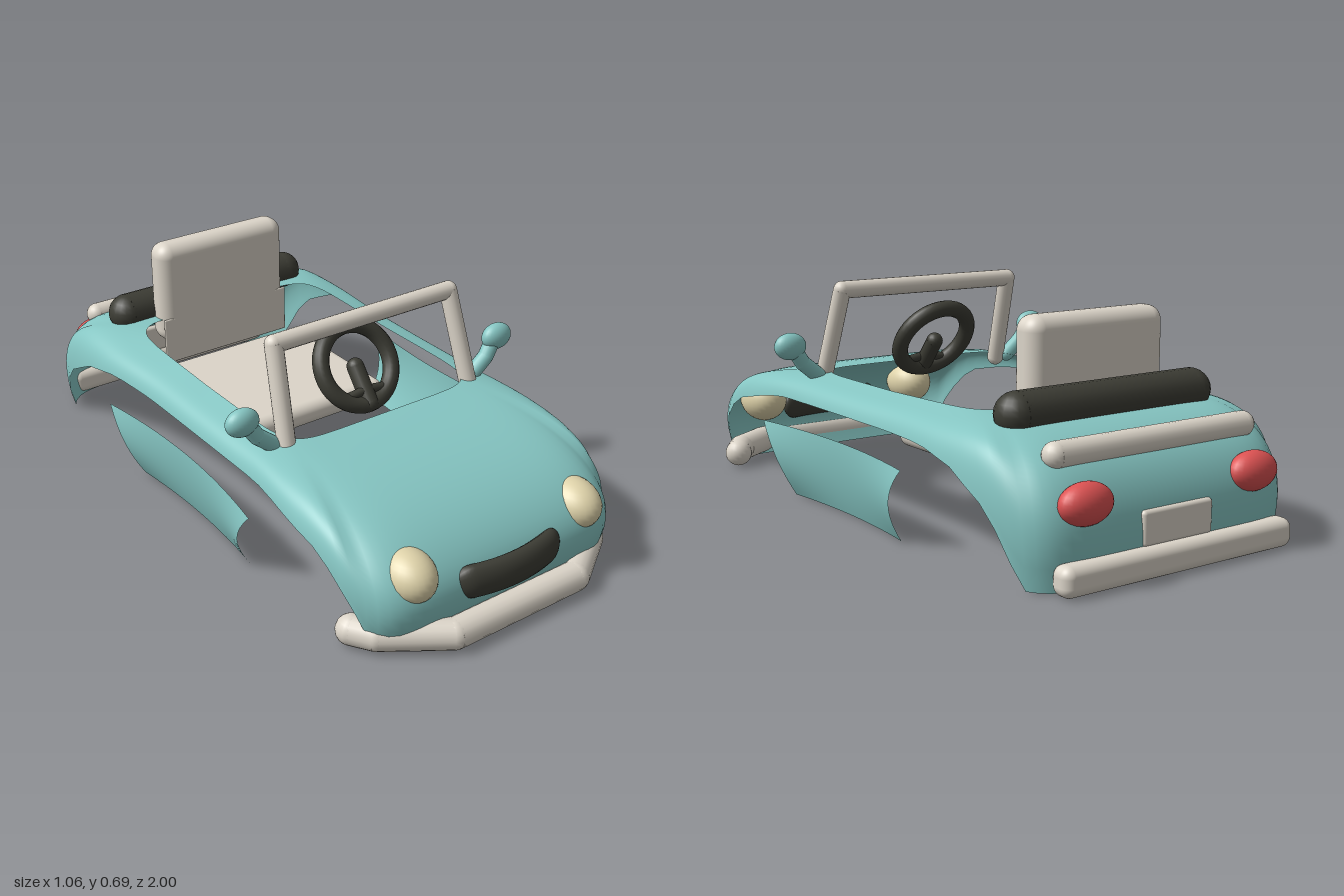
import * as THREE from 'three';
import { RoundedBoxGeometry } from 'three/addons/geometries/RoundedBoxGeometry.js';

const mat = (name, color) => {
  const m = new THREE.MeshStandardMaterial({ color });
  m.name = name;
  return m;
};
const V = (x, y, z) => new THREE.Vector3(x, y, z);
const smooth = THREE.MathUtils.smoothstep;

// Open surface from a grid of points; closed joins the last column to the first.
function sheet(cols, rows, point, closed = false) {
  const pos = [], idx = [];
  const n = closed ? cols : cols + 1;
  for (let i = 0; i < n; i++)
    for (let j = 0; j <= rows; j++) pos.push(...point(i / cols, j / rows));
  for (let i = 0; i < cols; i++)
    for (let j = 0; j < rows; j++) {
      const a = i * (rows + 1) + j, b = ((i + 1) % n) * (rows + 1) + j;
      idx.push(a, a + 1, b, b, a + 1, b + 1);
    }
  const g = new THREE.BufferGeometry();
  g.setAttribute('position', new THREE.Float32BufferAttribute(pos, 3));
  g.setIndex(idx);
  g.computeVertexNormals();
  return g;
}

// Lower edge of the body sides: front wheel arch, door opening, rear wheel arch.
const archLine = [[-0.87, 0.02], [-0.85, 0.06], [-0.82, 0.15], [-0.74, 0.235], [-0.6, 0.305], [-0.45, 0.33],
  [0.4, 0.33], [0.5, 0.315], [0.65, 0.285], [0.75, 0.235], [0.82, 0.14], [0.85, 0.02]];
function cutHeight(z) {
  for (let i = 1; i < archLine.length; i++) {
    const [z0, y0] = archLine[i - 1], [z1, y1] = archLine[i];
    if (z >= z0 && z <= z1) return y0 + (y1 - y0) * (z - z0) / (z1 - z0);
  }
  return 0.02;
}

// Body: profile from the outer outline up and in to the cockpit opening.
function bodyPoint(a, b, angle) {
  const e = b > 0 ? 7 : 8;
  const rOut = (Math.abs(a) ** e + Math.abs(b) ** e) ** (-1 / e), rIn = (a ** 8 + b ** 8) ** (-1 / 8);
  const bz = -0.005 + 0.96 * b * rOut;
  const bx = (0.48 + 0.015 * smooth(bz, 0.3, 0.6) + 0.025 * smooth(-bz, 0.2, 0.6)) * a * rOut;
  const qx = 0.35 * a * rIn, qz = -0.1 + 0.46 * b * rIn;
  const qy = 0.408 + 0.012 * Math.max(0, -b);
  const n = 2.7 + 0.2 * smooth(-b, 0.5, 1) + a * a * (0.3 + 3 * (1 - b ** 4));
  const c = Math.max(0, Math.cos(angle)) ** (2 / n), s = Math.sin(angle) ** (2 / n);
  const slope = 0.07 + 0.03 * a * a - 0.04 * smooth(-b, 0.5, 1);
  const y = 0.02 + (qy - 0.02) * s * (1 - slope * c);
  const tuck = Math.max(0, 1 - y / 0.25) ** 2;
  const z = qz + (bz - qz) * c;
  return [(qx + (bx - qx) * c) * (1 - 0.06 * tuck), y, z * (1 - (z > 0 ? 0.08 : 0.02) * tuck)];
}
function bodyGeometry() {
  const side = 28, starts = new Map();
  return sheet(side * 4, 24, (u, v) => {
    const k = Math.round(u * side * 4), f = ((k % side) / side) * 2 - 1;
    const [a, b] = [[f, 1], [1, -f], [-f, -1], [-1, f]][Math.floor(k / side)];
    if (!starts.has(k)) {
      let t = 0;
      if (Math.abs(a) > 0.8)
        for (; t < 1.5; t += 0.002) {
          const p = bodyPoint(a, b, t);
          if (p[1] >= cutHeight(p[2])) break;
        }
      starts.set(k, t);
    }
    const t0 = starts.get(k);
    return bodyPoint(a, b, t0 + (Math.PI / 2 - t0) * v);
  }, true);
}

export function createModel() {
  const car = new THREE.Group();
  car.name = 'openCar';
  const teal = mat('teal paint', 0x86c6c3);
  teal.side = THREE.DoubleSide;
  const cream = mat('cream trim', 0xdcd5c9);
  const dark = mat('dark rubber', 0x3c3c34);
  const red = mat('red lamp', 0xdc5252);
  const lamp = mat('pale yellow lamp', 0xdfd3aa);

  const add = (name, geo, material, x = 0, y = 0, z = 0, parent = car) => {
    const m = new THREE.Mesh(geo, material);
    m.name = name;
    m.position.set(x, y, z);
    parent.add(m);
    return m;
  };
  const box = (w, h, d, r) => new RoundedBoxGeometry(w, h, d, 5, r);
  const ball = (rx, ry, rz) => new THREE.SphereGeometry(1, 28, 18).scale(rx, ry, rz);
  // Rod along straight segments, with rounded joints and ends
  const rod = (name, pts, r, material, parent = car) => {
    const g = new THREE.Group();
    g.name = name;
    pts.forEach((p, i) => {
      add(name + 'Joint', new THREE.SphereGeometry(r, 18, 12), material, p.x, p.y, p.z, g);
      if (!i) return;
      const d = p.clone().sub(pts[i - 1]);
      const m = add(name + 'Bar', new THREE.CylinderGeometry(r, r, d.length(), 18), material, 0, 0, 0, g);
      m.position.copy(p).add(pts[i - 1]).multiplyScalar(0.5);
      m.quaternion.setFromUnitVectors(V(0, 1, 0), d.normalize());
    });
    parent.add(g);
    return g;
  };

  add('body', bodyGeometry(), teal);

  // Front grille, bowed to follow the nose
  const grille = new THREE.CapsuleGeometry(0.053, 0.28, 8, 20, 16).rotateZ(Math.PI / 2).scale(1, 1, 0.6);
  const gp = grille.attributes.position;
  for (let i = 0; i < gp.count; i++) gp.setZ(i, gp.getZ(i) - 1.0 * gp.getX(i) ** 2);
  grille.computeVertexNormals();
  add('grille', grille, dark, 0, 0.182, 0.938);

  // Bumpers; the front one tucks inside the fenders and ends in the wheel arches
  rod('frontBumper', [V(-0.44, 0.065, 0.775), V(-0.4, 0.065, 0.835), V(-0.225, 0.065, 0.952),
    V(0.225, 0.065, 0.952), V(0.4, 0.065, 0.835), V(0.44, 0.065, 0.775)], 0.045, cream);
  add('rearBumper', box(0.82, 0.085, 0.075, 0.03), cream, 0, 0.062, -0.962);
  add('rearPlate', box(0.25, 0.1, 0.03, 0.012), cream, 0, 0.15, -0.948);

  // Rear deck trim and folded roof
  rod('deckTrim', [V(-0.335, 0.358, -0.853), V(0.335, 0.358, -0.853)], 0.037, cream);
  rod('foldedRoof', [V(-0.315, 0.43, -0.662), V(0.315, 0.43, -0.662)], 0.063, dark);

  // Seat
  add('seatCushion', box(0.53, 0.075, 0.53, 0.034), cream, 0, 0.248, -0.245);
  add('seatBack', box(0.485, 0.35, 0.105, 0.045), cream, 0, 0.505, -0.587);
  add('seatBackSkirt', box(0.485, 0.16, 0.009, 0.004), cream, 0, 0.345, -0.539);

  // Windshield frame
  rod('windshieldFrame', [V(-0.342, 0.39, 0.33), V(-0.322, 0.677, 0.24),
    V(0.322, 0.677, 0.24), V(0.342, 0.39, 0.33)], 0.028, cream);

  // Steering wheel
  const wheel = new THREE.Group();
  wheel.name = 'steeringWheel';
  wheel.position.set(0, 0.5, 0.205);
  wheel.rotation.x = -0.57;
  add('wheelRim', new THREE.TorusGeometry(0.124, 0.026, 14, 40), dark, 0, 0, 0, wheel);
  rod('wheelSpoke', [V(-0.085, -0.09, 0), V(0, -0.08, 0.01), V(0.085, -0.09, 0)], 0.014, dark, wheel);
  car.add(wheel);
  rod('steeringColumn', [V(0, 0.492, 0.2), V(0, 0.4, 0.275)], 0.027, dark);

  for (const s of [-1, 1]) {
    const side = s > 0 ? 'left' : 'right';
    add(side + 'Headlight', ball(0.076, 0.075, 0.098), lamp, s * 0.306, 0.23, 0.84);
    add(side + 'TailLight', ball(0.085, 0.058, 0.05), red, s * 0.3, 0.243, -0.934);
    // Wing mirror
    rod(side + 'MirrorStalk', [V(s * 0.375, 0.4, 0.31), V(s * 0.43, 0.445, 0.31), V(s * 0.46, 0.49, 0.305)], 0.025, teal);
    add(side + 'Mirror', ball(0.054, 0.043, 0.034), teal, s * 0.475, 0.502, 0.305);
    // Door skirt, flaring out toward the wheel arches
    add(side + 'Skirt', sheet(24, 14, (u, t) => {
      const e = u * 2 - 1;
      const x = 0.488 - 0.045 * (1 - t) ** 2 + e * e * (0.02 + 0.024 * Math.sin(0.75 * Math.PI * t));
      return [s * x, 0.02 + 0.235 * t, -0.005 + e * (0.315 + 0.095 * t ** 2.2)];
    }), teal);
  }
  return car;
}
